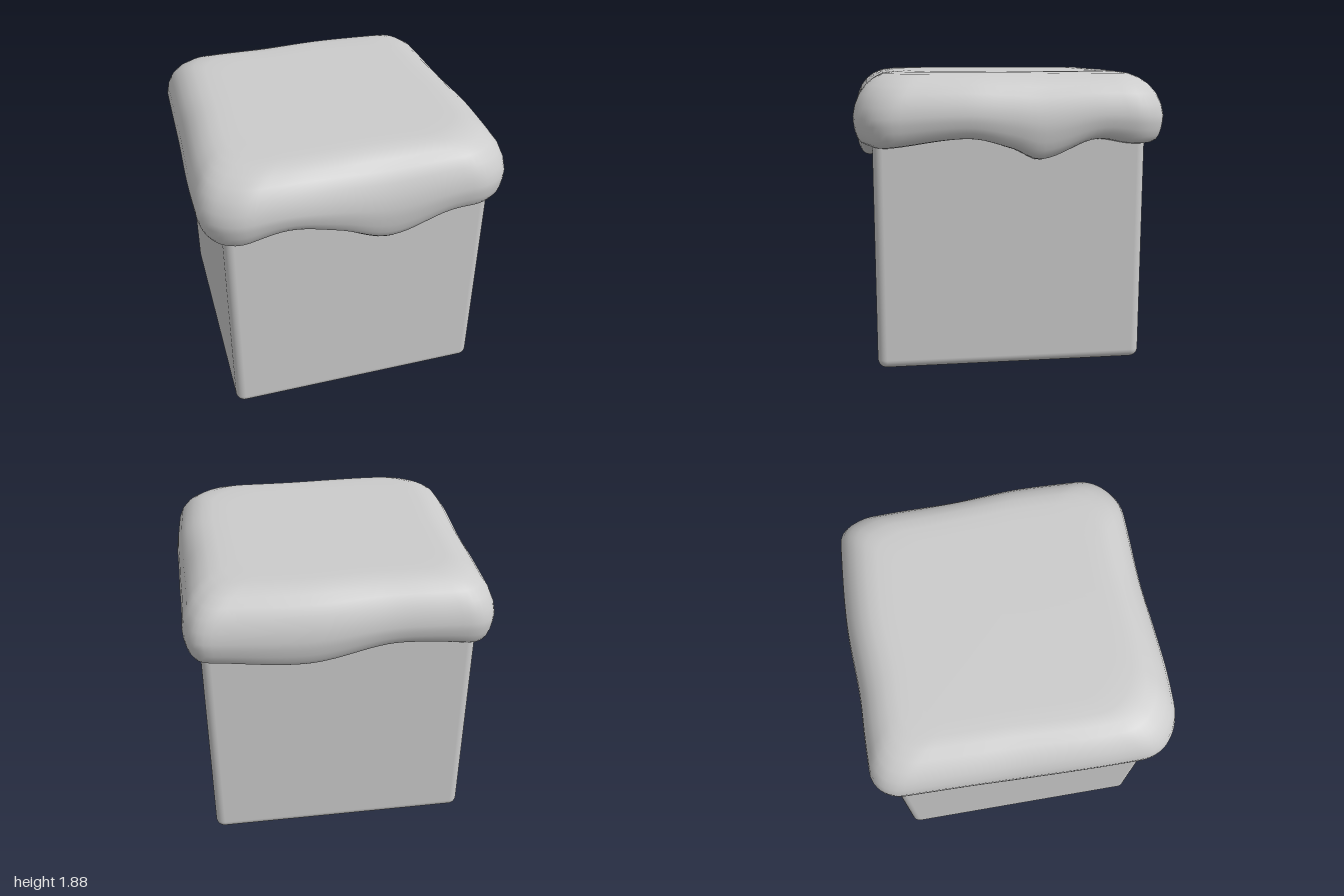
import * as THREE from 'three';
import { RoundedBoxGeometry } from 'three/addons/geometries/RoundedBoxGeometry.js';

const material = new THREE.MeshStandardMaterial({ color: 0xcccccc });

// Per side (front, right, back, left): [position along side -1..1, hem height, outward reach]
const sides = [
  [[-0.85, 1.42, 0.985], [-0.5, 1.49, 0.99], [-0.18, 1.42, 0.985], [0.18, 1.3, 0.978], [0.6, 1.42, 0.975], [0.88, 1.43, 0.975]],
  [[-0.88, 1.42, 0.98], [-0.3, 1.475, 0.99], [0, 1.41, 0.98], [0.2, 1.34, 0.975], [0.58, 1.46, 0.957], [0.88, 1.43, 0.955]],
  [[-0.85, 1.43, 0.975], [-0.22, 1.39, 1.0], [0.3, 1.47, 0.967], [0.6, 1.465, 0.968], [0.9, 1.43, 0.965]],
  [[-0.9, 1.43, 0.965], [-0.38, 1.45, 0.975], [-0.05, 1.42, 0.98], [0.46, 1.47, 0.998], [0.88, 1.42, 0.99]],
];
const keys = sides.flatMap((list, s) => list.map(([t, hem, reach]) => [s + (t + 1) / 2, hem, reach]));

// Smooth periodic interpolation of the keys; u runs 0..4 around the perimeter
function rimAt(u) {
  const n = keys.length;
  let i = keys.findIndex((k) => k[0] > u);
  if (i < 0) i = n;
  const key = (j) => keys[(j + n) % n];
  const pos = (j) => key(j)[0] + 4 * Math.floor(j / n);
  const h = pos(i) - pos(i - 1);
  const f = (u - pos(i - 1)) / h;
  const slope = (j, c) => (key(j + 1)[c] - key(j - 1)[c]) / (pos(j + 1) - pos(j - 1));
  const value = (c) => {
    const f2 = f * f, f3 = f2 * f;
    return (2 * f3 - 3 * f2 + 1) * key(i - 1)[c] + (3 * f2 - 2 * f3) * key(i)[c]
      + (f3 - 2 * f2 + f) * h * slope(i - 1, c) + (f3 - f2) * h * slope(i, c);
  };
  return { hem: value(1), reach: value(2) };
}

// Icing section above the bulge: [inset from reach, fraction of the height from bulge to top]
const upper = [[0.36, 1], [0.26, 0.995], [0.19, 0.96], [0.13, 0.86], [0.08, 0.71], [0.04, 0.51], [0.012, 0.25], [0, 0]];
// Icing section below the bulge: [inset, fraction of the drop to the hem]
const lower = [[0.003, 0.25], [0.01, 0.5], [0.022, 0.72], [0.04, 0.88], [0.065, 0.97], [0.095, 1]];

function icingGeometry() {
  const top = 1.875, perSide = 40, n = perSide * 4;
  const rings = upper.length + lower.length + 1;
  const positions = [], index = [];
  for (let r = 0; r < rings; r++) {
    for (let k = 0; k < n; k++) {
      const u = k / perSide, side = Math.floor(u), t = (u - side) * 2 - 1;
      const { hem, reach } = rimAt(u);
      const mid = 1.6 + (hem - 1.42) * 0.4;
      let w, y, radius;
      const [px, pz] = [[t, 1], [1, -t], [-t, -1], [-1, t]][side];
      radius = 0.23 + 0.05 * pz;
      if (r < upper.length) {
        w = reach - upper[r][0];
        y = mid + (top - mid) * upper[r][1];
      } else if (r < rings - 1) {
        const [inset, f] = lower[r - upper.length];
        w = reach - inset;
        y = mid + (hem - mid) * f;
        radius -= inset;
      } else {
        // inner lip tucked into the block
        w = 0.84;
        y = hem + 0.015;
        radius = 0.06;
      }
      // round the corners of the square ring
      const core = w - radius;
      const cx = THREE.MathUtils.clamp(px * w, -core, core);
      const cz = THREE.MathUtils.clamp(pz * w, -core, core);
      const dx = px * w - cx, dz = pz * w - cz;
      const len = Math.hypot(dx, dz);
      positions.push(cx + (dx / len) * radius, y, cz + (dz / len) * radius);
    }
  }
  // flat top closed by a fan
  const centre = positions.length / 3;
  positions.push(0, top, 0);
  for (let k = 0; k < n; k++) {
    const next = (k + 1) % n;
    index.push(centre, k, next);
    for (let r = 0; r < rings - 1; r++) {
      const a = r * n + k, b = r * n + next;
      index.push(a, a + n, b, b, a + n, b + n);
    }
  }
  const geometry = new THREE.BufferGeometry();
  geometry.setAttribute('position', new THREE.Float32BufferAttribute(positions, 3));
  geometry.setIndex(index);
  geometry.computeVertexNormals();
  return geometry;
}

export function createModel() {
  const model = new THREE.Group();
  model.name = 'icedBlock';

  // Block with softly rounded edges
  const height = 1.7;
  const block = new THREE.Mesh(new RoundedBoxGeometry(1.715, height, 1.715, 5, 0.06), material);
  block.position.y = height / 2;
  block.name = 'block';

  // Thick dripping layer draped over the top
  const icing = new THREE.Mesh(icingGeometry(), material);
  icing.name = 'icing';

  model.add(block, icing);
  return model;
}
